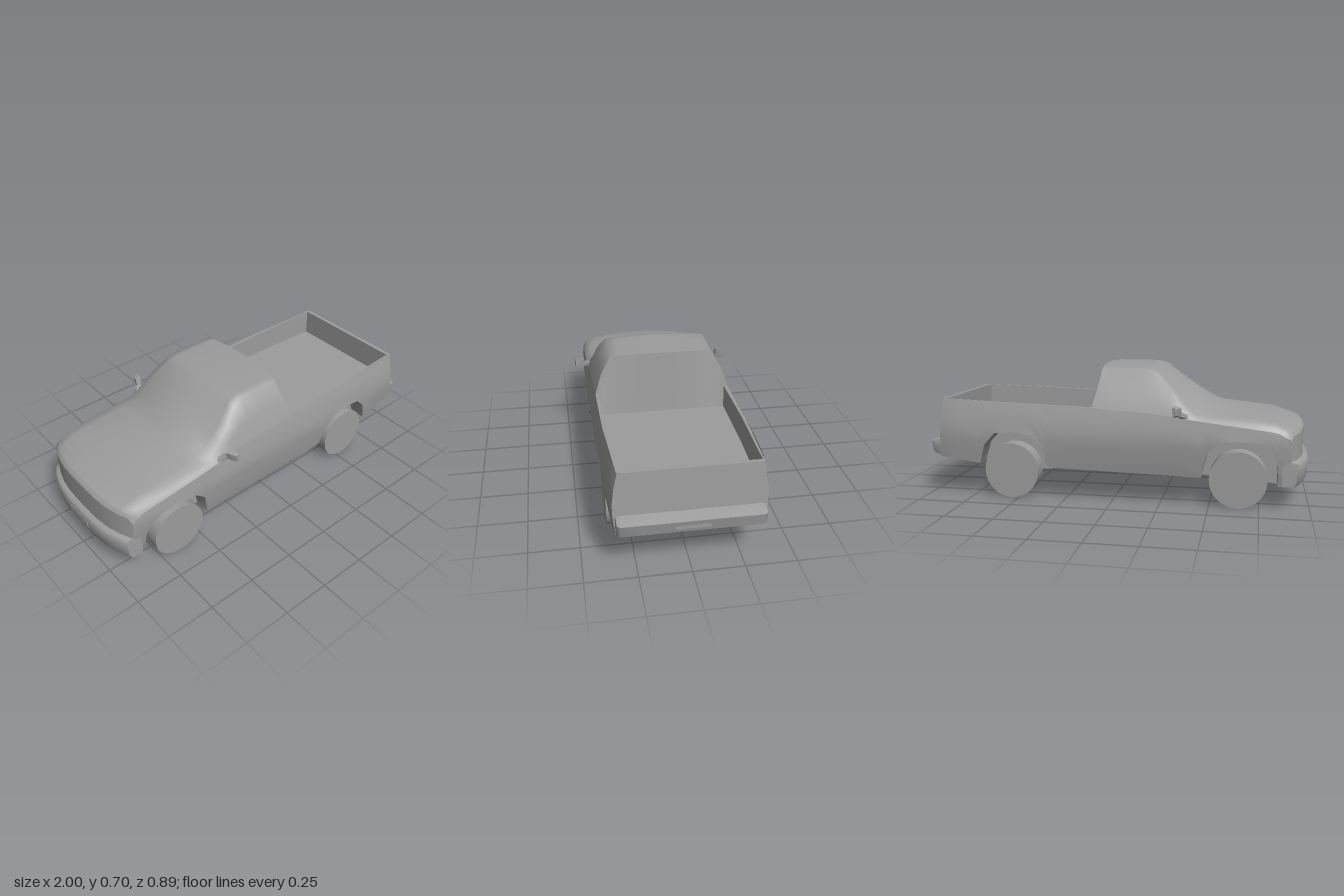
import * as THREE from 'three';
import { toCreasedNormals } from 'three/addons/utils/BufferGeometryUtils.js';
import { ConvexGeometry } from 'three/addons/geometries/ConvexGeometry.js';

const paint = new THREE.MeshStandardMaterial({ color: 0x9c9c9c, side: THREE.DoubleSide });

// Linear lookup in a table of [x, value] pairs
function look(table, x) {
  if (x <= table[0][0]) return table[0][1];
  for (let i = 1; i < table.length; i++) {
    const [x0, a] = table[i - 1], [x1, b] = table[i];
    if (x <= x1) return a + (b - a) * (x - x0) / (x1 - x0);
  }
  return table[table.length - 1][1];
}

// Surface through rows of [x, y, z] points
function skin(name, rows, crease = 1.2) {
  const n = rows[0].length, index = [];
  for (let i = 0; i < rows.length - 1; i++)
    for (let j = 0; j < n - 1; j++) {
      const a = i * n + j, b = a + n;
      index.push(a, b, a + 1, b, b + 1, a + 1);
    }
  const g = new THREE.BufferGeometry();
  g.setAttribute('position', new THREE.Float32BufferAttribute(rows.flat(2), 3));
  g.setIndex(index);
  const mesh = new THREE.Mesh(toCreasedNormals(g, crease), paint);
  mesh.name = name;
  return mesh;
}

// Continue a +z half section (ending at z = 0) onto the -z side
const mirrored = half => [...half, ...half.slice(0, -1).reverse().map(([x, y, z]) => [x, y, -z])];

// Side profile lines along the truck
const sill = [[-1, 0.118], [-0.84, 0.115], [-0.835, 0.23], [-0.81, 0.3], [-0.76, 0.335], [-0.65, 0.345],
  [-0.55, 0.335], [-0.49, 0.28], [-0.46, 0.148], [0.34, 0.17], [0.36, 0.27], [0.42, 0.34],
  [0.53, 0.355], [0.62, 0.345], [0.68, 0.28], [0.712, 0.175], [0.92, 0.205]];
const floorLine = [[-1, 0.115], [-0.84, 0.115], [-0.46, 0.146], [0.34, 0.168], [0.71, 0.174], [0.92, 0.205]];
const belt = [[-0.97, 0.345], [-0.95, 0.36], [-0.8, 0.397], [-0.42, 0.442], [-0.2, 0.47], [0.105, 0.49], [0.915, 0.515]];
const crown = [[-0.97, 0.392], [-0.955, 0.413], [-0.82, 0.45], [-0.68, 0.474], [-0.53, 0.492],
  [-0.24, 0.678], [-0.18, 0.697], [0.105, 0.697]];
const roofEdge = [[-0.97, 0.375], [-0.95, 0.395], [-0.82, 0.431], [-0.42, 0.468], [-0.22, 0.668],
  [-0.17, 0.686], [0.105, 0.686]];
const edgeWidth = [[0.37, 0.335], [0.47, 0.337], [0.59, 0.316], [0.686, 0.27]];

// Half width of the body, from height and plan outline
const girth = [[0.115, 0.345], [0.17, 0.362], [0.25, 0.374], [0.34, 0.384], [0.44, 0.37], [0.515, 0.352]];
const plan = [[-1, 0.93], [-0.9, 0.955], [-0.8, 0.98], [-0.58, 1], [0.45, 1], [0.7, 0.985], [0.87, 0.96], [0.92, 0.935]];
const halfWidth = (x, y) => look(girth, y) * look(plan, x);

// Bow the nose back at its corners and slope the tail
function place(x, y, z) {
  const nose = THREE.MathUtils.clamp((-0.84 - x) / 0.13, 0, 1);
  const tail = THREE.MathUtils.clamp((x - 0.72) / 0.2, 0, 1);
  return [x + nose * 0.06 * Math.abs(z / 0.34) ** 3 + tail * (0.515 - y) * 0.07, y, z];
}

const stations = (...xs) => [...new Set(xs)].sort((a, b) => a - b);

function lowerBody() {
  const xs = stations(...sill.map(p => p[0]).filter(x => x > -0.97), -0.97, -0.94, -0.9, -0.7, -0.6,
    -0.35, -0.2, 0, 0.105, 0.2, 0.475, 0.575, 0.8, 0.87);
  return skin('lowerBody', xs.map(x => {
    const yb = look(sill, x), yt = look(belt, x), yf = look(floorLine, x), half = [];
    for (let k = 8; k >= 0; k--) {
      const y = yb + (yt - yb) * k / 8;
      half.push(place(x, y, halfWidth(x, y)));
    }
    // Wheel well roof and wall, then the floor
    half.push(place(x, yb, 0.27), place(x, yf, 0.27), place(x, yf, 0));
    return mirrored(half).reverse();
  }));
}

// Bonnet, windscreen, side glass and roof share one section rule
function upperSection(x) {
  const yb = look(belt, x), ye = look(roofEdge, x), yc = look(crown, x);
  const ze = look(edgeWidth, ye), zb = halfWidth(x, yb);
  const half = [[yb, zb], [(yb + ye) / 2, zb + (ze - zb) * 0.38], [ye, ze]];
  for (const t of [0.85, 0.65, 0.4, 0.2, 0]) half.push([yc + (ye - yc) * t * t, ze * t]);
  return mirrored(half.map(([y, z]) => {
    const [px, py, pz] = place(x, y, z);
    // Rear edge leans forward, more so at the corners
    const rear = 0.105 - (py - 0.48) * (0.115 + 0.1 * (pz / 0.27) ** 2);
    return [Math.min(px, rear), py, pz];
  }));
}

function tailgate() {
  const rows = [];
  for (let s = -1; s <= 1.001; s += 0.125)
    rows.push(Array.from({ length: 7 }, (_, k) => {
      const y = 0.515 - 0.31 * k / 6;
      return place(0.92, y, s * halfWidth(0.92, y));
    }));
  return skin('tailgate', rows);
}

function noseFace() {
  const half = [0, 0.2, 0.4, 0.6, 0.8, 0.944, 1];
  const all = [...half.slice(1).reverse().map(s => -s), ...half];
  return skin('noseFace', all.map(s => {
    const a = Math.abs(s), t = a / 0.944;
    const top = a === 1 ? 0.345 : 0.392 - 0.017 * t * t;
    return Array.from({ length: 7 }, (_, k) => {
      const y = 0.118 + (top - 0.118) * k / 6;
      return place(-0.97, y, s * halfWidth(-0.97, y));
    });
  }));
}

function bed() {
  // The last two stations rise to form the tailgate lip
  return skin('bed', [[0.1, 0], [0.5, 0], [0.9, 0], [0.9, 1], [0.92, 1]].map(([x, lip]) => {
    const y = look(belt, x), floor = lip ? y : 0.37, inner = Math.min(0.338, halfWidth(x, y) - 0.008);
    return mirrored([[x, y, halfWidth(x, y)], [x, y, inner], [x, floor, inner], [x, floor, 0]]);
  }), 0.3);
}

// Run the end rows of a bumper back along the body sides
function wrapEnds(rows, x, z) {
  const end = s => rows[0].map(([, y]) => [x, y, s * z]);
  return [end(-1), ...rows, end(1)];
}

function frontBumper() {
  const profile = [[-0.88, 0.116], [-0.98, 0.118], [-0.994, 0.14], [-1, 0.228], [-0.99, 0.242], [-0.96, 0.25]];
  const rows = [];
  for (let i = -8; i <= 8; i++) rows.push(profile.map(([x, y]) => place(x, y, i / 8 * 0.347)));
  return skin('frontBumper', wrapEnds(rows, -0.86, 0.355), 0.9);
}

function rearBumper() {
  const profile = [[0.92, 0.305], [0.96, 0.296], [0.998, 0.284], [0.985, 0.222], [0.92, 0.205]];
  const rows = [-0.342, -0.325, -0.2, -0.07, 0, 0.07, 0.2, 0.325, 0.342].map(z =>
    profile.map(([x, y], k) => {
      // Shallow recess at the middle of the step, rounded corners
      const notch = z === 0 && k === 1 ? 0.015 : 0;
      const corner = Math.abs(z) > 0.33 ? 0.012 : 0;
      return [x - notch - corner, y, z];
    }));
  return skin('rearBumper', wrapEnds(rows, 0.82, 0.353), 0.9);
}

// Door mirror on the side given by s
function doorMirror(s) {
  const group = new THREE.Group();
  group.name = s > 0 ? 'leftDoorMirror' : 'rightDoorMirror';
  const hull = (name, pts) => {
    const m = new THREE.Mesh(new ConvexGeometry(pts.map(([x, y, z]) => new THREE.Vector3(x, y, s * z))), paint);
    m.name = name;
    group.add(m);
  };
  hull('mirrorHead', [[-0.36, 0.468, 0.382], [-0.34, 0.458, 0.384], [-0.362, 0.508, 0.392], [-0.33, 0.518, 0.392],
    [-0.34, 0.475, 0.443], [-0.322, 0.467, 0.44], [-0.34, 0.508, 0.444], [-0.32, 0.518, 0.44]]);
  hull('mirrorArm', [[-0.41, 0.44, 0.35], [-0.365, 0.44, 0.35], [-0.4, 0.465, 0.345], [-0.35, 0.475, 0.345],
    [-0.36, 0.462, 0.392], [-0.34, 0.46, 0.392], [-0.36, 0.485, 0.392], [-0.338, 0.485, 0.392]]);
  return group;
}

export function createModel() {
  const truck = new THREE.Group();
  truck.name = 'pickupTruck';

  const upperXs = stations(...crown.map(p => p[0]), ...roofEdge.map(p => p[0]), -0.9, -0.48, -0.36, -0.3, -0.08, 0.02);
  const upper = upperXs.map(upperSection);
  const rearEdge = upper[upper.length - 1];
  truck.add(
    lowerBody(),
    skin('bonnetAndCab', upper),
    skin('cabRearWall', [rearEdge, rearEdge.map(([, , z]) => [0.112, 0.37, z])]),
    noseFace(), tailgate(), bed(), frontBumper(), rearBumper(),
    doorMirror(1), doorMirror(-1));

  // Number plate panels without markings
  for (const [name, x, y] of [['frontPlate', -0.994, 0.185], ['rearPlate', 0.987, 0.262]]) {
    const plate = new THREE.Mesh(new THREE.BoxGeometry(0.012, 0.04, 0.16), paint);
    plate.name = name;
    plate.position.set(x, y, 0);
    truck.add(plate);
  }

  // Wheels
  const wheelGeometry = new THREE.CylinderGeometry(0.145, 0.145, 0.085, 40).rotateX(Math.PI / 2);
  for (const [end, x] of [['front', -0.645], ['rear', 0.535]])
    for (const s of [1, -1]) {
      const wheel = new THREE.Mesh(wheelGeometry, paint);
      wheel.name = end + 'Wheel';
      wheel.position.set(x, 0.145, s * 0.3225);
      truck.add(wheel);
    }
  return truck;
}
